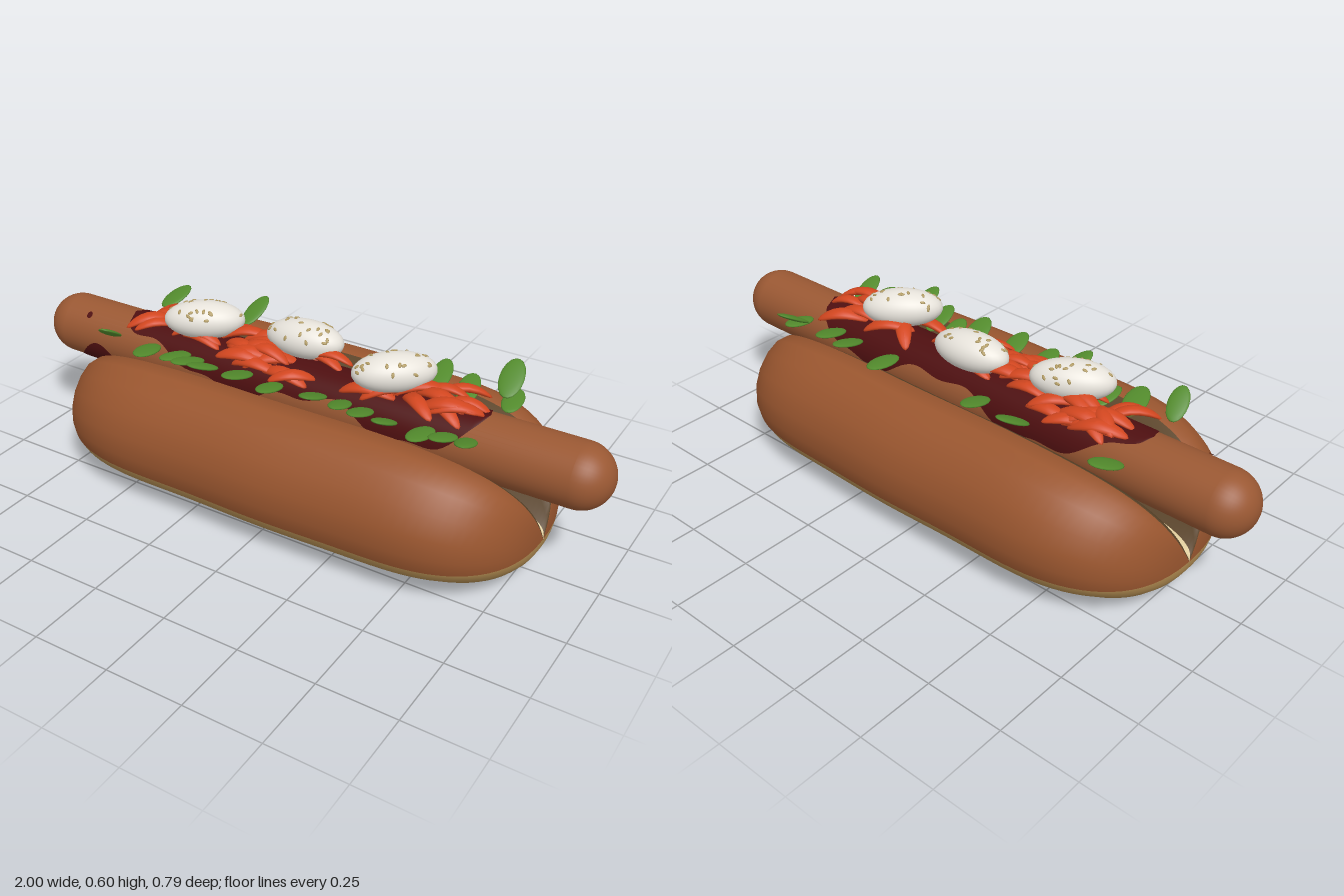
import * as THREE from 'three';

const mat = (name, color, side = THREE.FrontSide) => {
  const m = new THREE.MeshStandardMaterial({ color, side });
  m.name = name;
  return m;
};

export function createModel() {
  const crust = mat('crust', 0x9a562f), base = mat('bunBase', 0xb08a50);
  const inner = mat('bunInside', 0x5c452a), crumb = mat('crumb', 0xe2cf9e);
  const meat = mat('sausageBrown', 0x9a5833), sauceRed = mat('sauceRed', 0x4e0f10, THREE.DoubleSide);
  const orange = mat('carrotOrange', 0xd2461f), green = mat('leafGreen', 0x528a2c);
  const white = mat('creamWhite', 0xe6e2da), seedTan = mat('seedTan', 0xb09a62);

  const root = new THREE.Group();
  root.name = 'loadedHotDog';
  const add = (parent, name, geo, material) => {
    const m = new THREE.Mesh(geo, material);
    m.name = name;
    parent.add(m);
    return m;
  };
  const group = (name) => {
    const g = new THREE.Group();
    g.name = name;
    root.add(g);
    return g;
  };
  let seed = 7;
  const rnd = (a, b) => {
    seed = (seed * 16807) % 2147483647;
    return a + (b - a) * seed / 2147483647;
  };

  // Bun: half section (z, y) from the underside to the notch floor, mirrored and lofted along x
  const half = [[0, 0.002], [0.1, 0.004], [0.2, 0.02], [0.29, 0.055], [0.352, 0.1], [0.376, 0.14],
    [0.391, 0.2], [0.386, 0.27], [0.357, 0.34], [0.305, 0.4], [0.245, 0.434], [0.185, 0.435],
    [0.14, 0.4], [0.085, 0.31], [0.032, 0.215], [0, 0.195]];
  const loop = [...half, ...half.slice(1, -1).reverse().map(([z, y]) => [-z, y])];
  const n = loop.length, rings = 56, poleY = 0.125, pos = [];
  for (let i = 0; i <= rings; i++) {
    const t = -Math.cos(Math.PI * i / rings);
    const s = Math.pow(Math.max(0, 1 - Math.pow(Math.abs(t), 5)), 0.4);
    const lump = 1 + 0.008 * Math.sin(t * 9 + 1);
    for (const [z, y] of loop) pos.push(t * 0.815, poleY + (y - poleY) * s, z * s * lump);
  }
  const faces = [[], [], [], []];
  for (let j = 0; j < n; j++) {
    const h = j < n / 2 ? j : n - 1 - j;
    const list = faces[h < 5 ? 0 : h < 11 ? 1 : h < 14 ? 2 : 3];
    for (let i = 0; i < rings; i++) {
      const k = (j + 1) % n, a = i * n + j, b = a + n, c = (i + 1) * n + k, d = i * n + k;
      list.push(a, b, c, a, c, d);
    }
  }
  const bun = new THREE.BufferGeometry();
  bun.setAttribute('position', new THREE.Float32BufferAttribute(pos, 3));
  bun.setIndex(faces.flat());
  let start = 0;
  faces.forEach((f, i) => {
    bun.addGroup(start, f.length, i);
    start += f.length;
  });
  bun.computeVertexNormals();
  add(root, 'bun', bun, [base, crust, inner, crumb]);

  // Sausage
  const axisY = 0.38;
  const sausage = add(root, 'sausage', new THREE.CapsuleGeometry(0.1, 1.8, 16, 40), meat);
  sausage.rotation.z = Math.PI / 2;
  sausage.position.y = axisY;

  // Sauce: thin skin wrapped on the sausage between two angle limits (0 = top, + = front)
  const sauce = (name, x0, x1, limits) => {
    const g = new THREE.PlaneGeometry(1, 1, 80, 24), p = g.attributes.position;
    for (let i = 0; i < p.count; i++) {
      const x = x0 + (x1 - x0) * (p.getX(i) + 0.5);
      const [a0, a1] = limits(x), a = a0 + (a1 - a0) * (p.getY(i) + 0.5);
      p.setXYZ(i, x, axisY + 0.103 * Math.cos(a), 0.103 * Math.sin(a));
    }
    g.computeVertexNormals();
    return add(root, name, g, sauceRed);
  };
  sauce('sauceCoat', -0.66, 0.62, (x) => {
    const taper = Math.sqrt(Math.max(0, 1 - Math.pow(Math.abs(x + 0.02) / 0.64, 6)));
    return [-taper * (1.4 + 0.4 * Math.cos(x * 9 + 2.6) + 0.15 * Math.sin(x * 25)),
      taper * (1.45 + 0.35 * Math.sin(x * 10 + 3.6) + 0.15 * Math.sin(x * 27))];
  });
  sauce('sauceDrip', -0.84, -0.66, (x) => {
    const w = Math.sin(Math.PI * (x + 0.84) / 0.18);
    return [2.3 - 0.75 * w, 2.3 + 0.8 * w];
  });
  sauce('sauceSpot', -0.815, -0.795, (x) => {
    const w = 0.12 * Math.sqrt(Math.max(0, 1 - Math.pow((x + 0.805) / 0.01, 2)));
    return [0.7 - w, 0.7 + w];
  });

  // Carrot slivers: flattened ellipsoids bent downward at both ends
  const sliver = new THREE.SphereGeometry(1, 18, 10);
  sliver.scale(0.085, 0.013, 0.024);
  const sp = sliver.attributes.position;
  for (let i = 0; i < sp.count; i++) sp.setY(i, sp.getY(i) - 4 * sp.getX(i) ** 2);
  sliver.computeVertexNormals();
  const carrots = group('carrotSlivers');
  for (const [cx, cz, spread, count] of [[-0.46, 0, 0.13, 17], [-0.2, 0.03, 0.12, 13],
    [0.03, 0.03, 0.08, 5], [0.4, 0, 0.15, 14]]) {
    for (let i = 0; i < count; i++) {
      const c = add(carrots, 'carrotSliver', sliver, orange);
      const z = cz + rnd(-0.085, 0.075);
      c.position.set(cx + rnd(-spread, spread), 0.512 - 2.5 * z * z + rnd(-0.012, 0.01), z);
      c.rotation.set(z * 3, rnd(-0.3, 0.9) * (rnd(0, 1) < 0.7 ? 1 : -1), rnd(-0.12, 0.12), 'YXZ');
      c.scale.setScalar(rnd(0.85, 1.1));
    }
  }

  // Leaves: thin ovals fanning outward and up along both sides, [x, z]
  const leaf = new THREE.SphereGeometry(1, 18, 10);
  leaf.scale(0.037, 0.008, 0.066);
  const leaves = group('leaves');
  for (const [x, z] of [[-0.63, -0.18], [-0.32, -0.2], [-0.15, -0.165], [0.23, -0.165], [0.38, -0.17],
    [0.48, -0.15], [0.59, -0.21], [0.62, -0.16], [-0.62, 0.18], [-0.49, 0.16], [-0.4, 0.13],
    [-0.33, 0.16], [-0.25, 0.19], [-0.15, 0.15], [-0.02, 0.17], [0.12, 0.15], [0.2, 0.13],
    [0.28, 0.15], [0.38, 0.19], [0.47, 0.14], [0.54, 0.14], [0.61, 0.14]]) {
    const l = add(leaves, 'leaf', leaf, green);
    const tilt = rnd(0.1, 0.4) + (Math.abs(z) > 0.175 ? 0.22 : 0);
    l.position.set(x, 0.432 + 0.075 * Math.sin(tilt) + (Math.abs(z) - 0.13) * 0.3, z);
    l.rotation.set(-Math.sign(z) * tilt, rnd(-0.3, 0.3), 0, 'YXZ');
    l.scale.set(rnd(0.85, 1.05), 1, rnd(0.9, 1.1));
  }

  // Cream dollops sprinkled with seeds, [x, y, z, yaw]
  const size = new THREE.Vector3(0.128, 0.06, 0.068);
  const dollopGeo = new THREE.SphereGeometry(1, 32, 20);
  dollopGeo.scale(size.x, size.y, size.z);
  const seedGeo = new THREE.SphereGeometry(1, 8, 6);
  seedGeo.scale(0.009, 0.003, 0.005);
  for (const [x, y, z, yaw] of [[-0.36, 0.54, 0.022, 0.5], [-0.025, 0.535, -0.04, 0.12],
    [0.315, 0.543, 0.015, 0.68]]) {
    const g = group('creamDollop');
    g.position.set(x, y, z);
    g.rotation.y = yaw;
    add(g, 'dollop', dollopGeo, white);
    for (let i = 0; i < 24; i++) {
      const a = rnd(0, Math.PI * 2), up = rnd(0.25, 0.98), r = Math.sqrt(1 - up * up);
      const d = new THREE.Vector3(r * Math.cos(a), up, r * Math.sin(a));
      const s = add(g, 'seed', seedGeo, seedTan);
      s.position.copy(d).multiply(size);
      s.quaternion.setFromUnitVectors(new THREE.Vector3(0, 1, 0), d.divide(size).normalize());
      s.rotateY(rnd(0, 6));
    }
  }
  return root;
}
